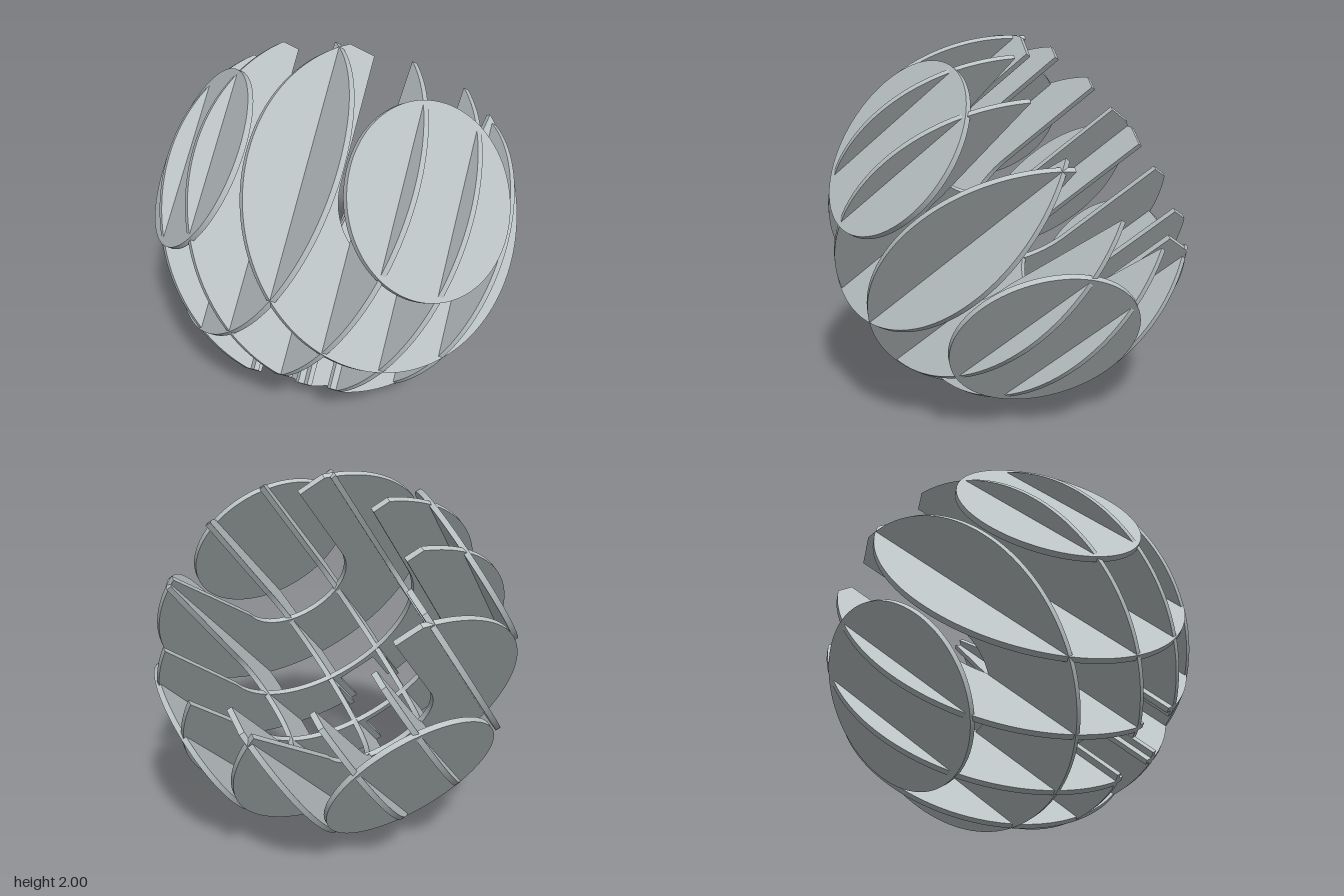
import * as THREE from 'three';
import { toCreasedNormals } from 'three/addons/utils/BufferGeometryUtils.js';

const R = 0.992;          // outer sphere
const CAVITY = 0.61;      // bore with a domed end
const OPEN_END = 0.7;     // flat cut at the open end
const POLE_END = -0.955;  // flat cut at the closed end
const THICK = 0.03;
const OFFSETS = [0.1725, 0.5175, 0.8625];

// Outline of one slice of the hollow sphere, at a distance from its centre
function sliceShape(offset) {
  const s = new THREE.Shape();
  const r = Math.sqrt(R * R - offset * offset);
  if (offset > CAVITY) {
    s.absarc(0, 0, r, 0, Math.PI * 2, false);
    return s;
  }
  const c = Math.sqrt(CAVITY * CAVITY - offset * offset);
  const top = Math.asin(OPEN_END / r);
  s.moveTo(c, OPEN_END);
  if (r > -POLE_END) {
    // innermost slices: flat pole with a square notch for the cable
    const low = Math.asin(POLE_END / r);
    s.absarc(0, 0, r, top, low, true);
    s.lineTo(0.12, POLE_END);
    s.lineTo(0.12, -0.63);
    s.lineTo(-0.12, -0.63);
    s.lineTo(-0.12, POLE_END);
    s.absarc(0, 0, r, Math.PI - low, Math.PI - top, true);
  } else {
    s.absarc(0, 0, r, top, -Math.PI - top, true);
  }
  // inner edge: straight bore, then round dome
  s.lineTo(-c, OPEN_END);
  s.lineTo(-c, 0);
  s.absarc(0, 0, c, Math.PI, Math.PI * 2, false);
  s.closePath();
  return s;
}

function sliceGeometry(offset) {
  const g = new THREE.ExtrudeGeometry(sliceShape(offset), {
    depth: THICK, bevelEnabled: false, curveSegments: 64,
  });
  g.translate(0, 0, -THICK / 2);
  return toCreasedNormals(g, 0.5);
}

export function createModel() {
  const model = new THREE.Group();
  model.name = 'slicedSphere';
  const grey = new THREE.MeshStandardMaterial({ color: 0xbcc4c6 });
  grey.name = 'pale grey';

  // Tilted lattice: local y runs along the bore
  const lattice = new THREE.Group();
  lattice.name = 'tiltedLattice';
  lattice.position.y = 1;
  lattice.rotation.x = -THREE.MathUtils.degToRad(50);
  model.add(lattice);

  const geometries = OFFSETS.map(sliceGeometry);
  const names = ['innerSlice', 'middleSlice', 'outerDisc'];

  // Two crossing families of six parallel slices
  for (const side of [1, -1]) {
    const family = new THREE.Group();
    family.name = side > 0 ? 'leftLeaningSlices' : 'rightLeaningSlices';
    family.rotation.y = side * Math.PI / 4;
    lattice.add(family);
    OFFSETS.forEach((offset, i) => {
      for (const dir of [1, -1]) {
        const slice = new THREE.Mesh(geometries[i], grey);
        slice.name = names[i] + (dir > 0 ? 'Upper' : 'Lower');
        slice.position.z = dir * offset;
        family.add(slice);
      }
    });
  }
  return model;
}
